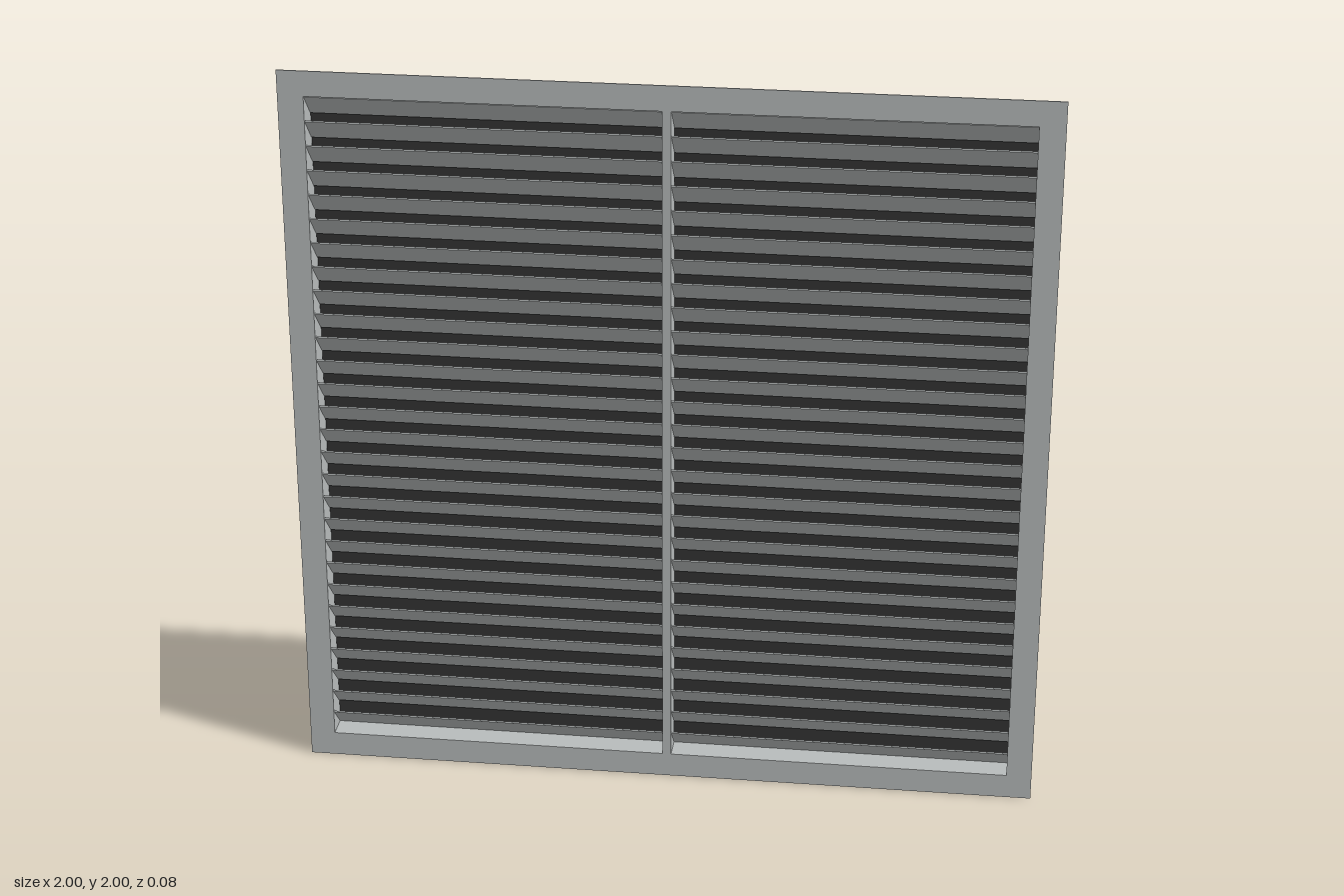
import * as THREE from 'three';

const aluminium = new THREE.MeshStandardMaterial({ color: 0xb8bcbc });
aluminium.name = 'aluminium';
const darkMesh = new THREE.MeshStandardMaterial({ color: 0x333333 });
darkMesh.name = 'dark backing';

const CENTRE = 1;        // height of the middle
const INNER = 0.932;     // half size of the opening
const FRONT = 0.04;
const DUCT_BACK = -0.032;

// Square ring centred on the origin, extruded from zBack to zFront
function squareRing(outer, inner, zBack, zFront) {
  const square = (Type, r) => {
    const p = new Type();
    p.moveTo(-r, -r);
    p.lineTo(r, -r);
    p.lineTo(r, r);
    p.lineTo(-r, r);
    p.closePath();
    return p;
  };
  const shape = square(THREE.Shape, outer);
  shape.holes.push(square(THREE.Path, inner));
  const g = new THREE.ExtrudeGeometry(shape, { depth: zFront - zBack, bevelEnabled: false });
  return g.translate(0, CENTRE, zBack);
}

export function createModel() {
  const model = new THREE.Group();
  model.name = 'louvredVent';
  const add = (name, geometry, material, parent = model) => {
    const mesh = new THREE.Mesh(geometry, material);
    mesh.name = name;
    parent.add(mesh);
    return mesh;
  };

  // Thin face flange and the shallow duct collar behind it
  add('faceFrame', squareRing(1, INNER, FRONT - 0.004, FRONT), aluminium);
  add('ductCollar', squareRing(0.938, INNER, DUCT_BACK, FRONT - 0.004), aluminium);

  // Vertical bar between the two halves
  const barHalf = 0.012;
  const barDepth = FRONT - DUCT_BACK;
  add('centreBar', new THREE.BoxGeometry(barHalf * 2, INNER * 2, barDepth), aluminium)
    .position.set(0, CENTRE, (FRONT + DUCT_BACK) / 2);

  // Slats at 45 degrees, upper edge to the front
  const count = 28;
  const pitch = (INNER * 2) / count;
  const thick = 0.004;
  const slatGeometry = new THREE.BoxGeometry(INNER - barHalf, pitch * Math.SQRT2 - thick, thick);
  for (const side of [-1, 1]) {
    const bank = new THREE.Group();
    bank.name = side > 0 ? 'leftSlats' : 'rightSlats';
    model.add(bank);
    for (let i = 0; i < count; i++) {
      const slat = add('slat', slatGeometry, aluminium, bank);
      slat.position.set(side * (INNER + barHalf) / 2, CENTRE - INNER + pitch * (i + 0.5), 0.003);
      slat.rotation.x = Math.PI / 4;
    }
  }

  // Dark backing sheet, held just clear of the collar
  add('backSheet', new THREE.BoxGeometry(1.87, 1.87, 0.003), darkMesh)
    .position.set(0, CENTRE, -0.0385);

  return model;
}
